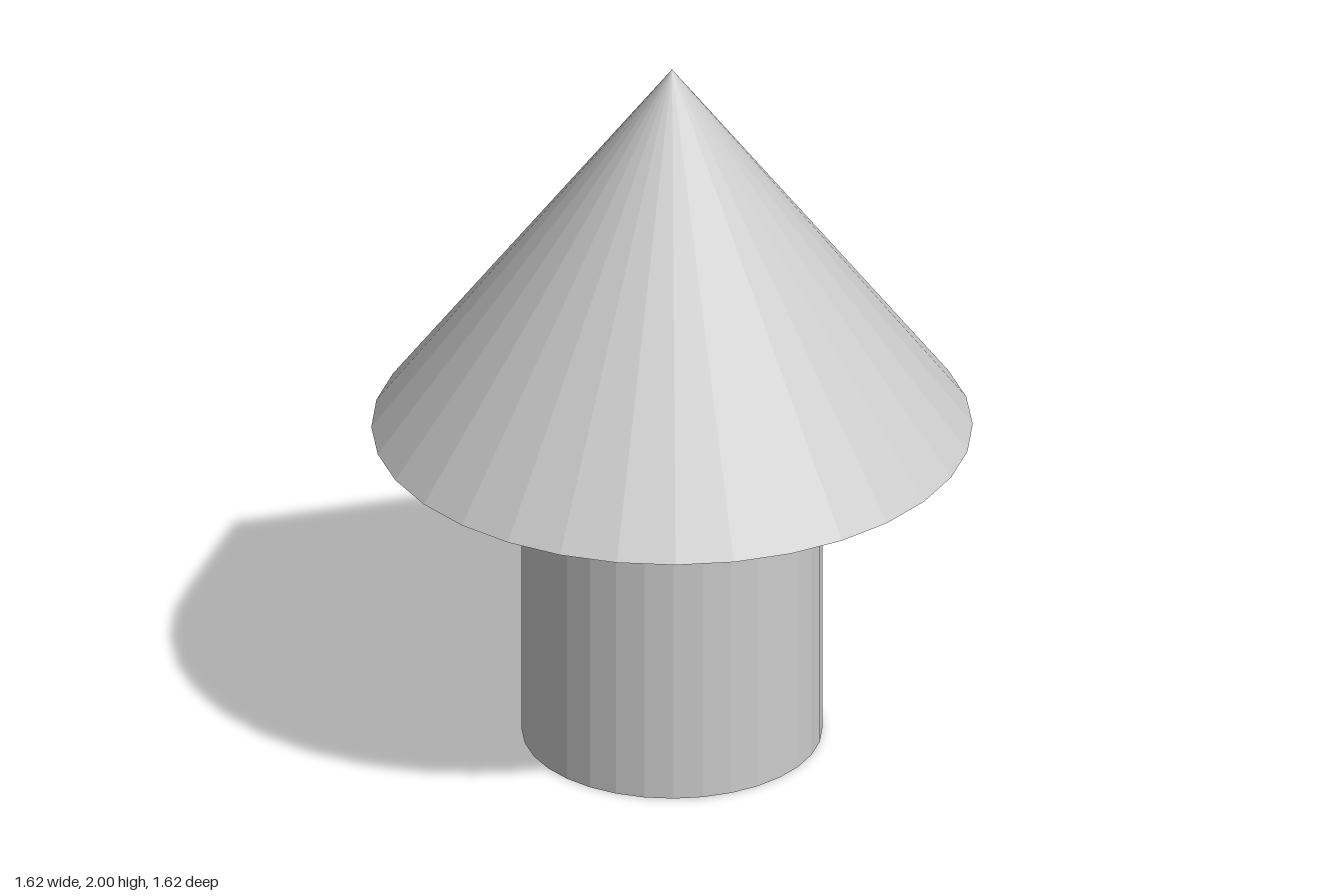
import * as THREE from 'three';

const SIDES = 32;
const HEIGHT = 2;
const EAVE_Y = 0.92; // where the roof meets the column
const ROOF_RADIUS = 0.808;
const COLUMN_RADIUS = 0.404;

export function createModel() {
  const model = new THREE.Group();
  model.name = 'coneTopColumn';
  const material = new THREE.MeshStandardMaterial({ color: 0xcccccc, flatShading: true });

  const addPart = (name, geometry, y) => {
    const mesh = new THREE.Mesh(geometry, material);
    mesh.name = name;
    mesh.position.y = y;
    model.add(mesh);
  };

  // Round column standing on the ground
  addPart('column', new THREE.CylinderGeometry(COLUMN_RADIUS, COLUMN_RADIUS, EAVE_Y, SIDES), EAVE_Y / 2);

  // Wide cone with a flat underside
  addPart('coneRoof', new THREE.ConeGeometry(ROOF_RADIUS, HEIGHT - EAVE_Y, SIDES), (HEIGHT + EAVE_Y) / 2);

  return model;
}
